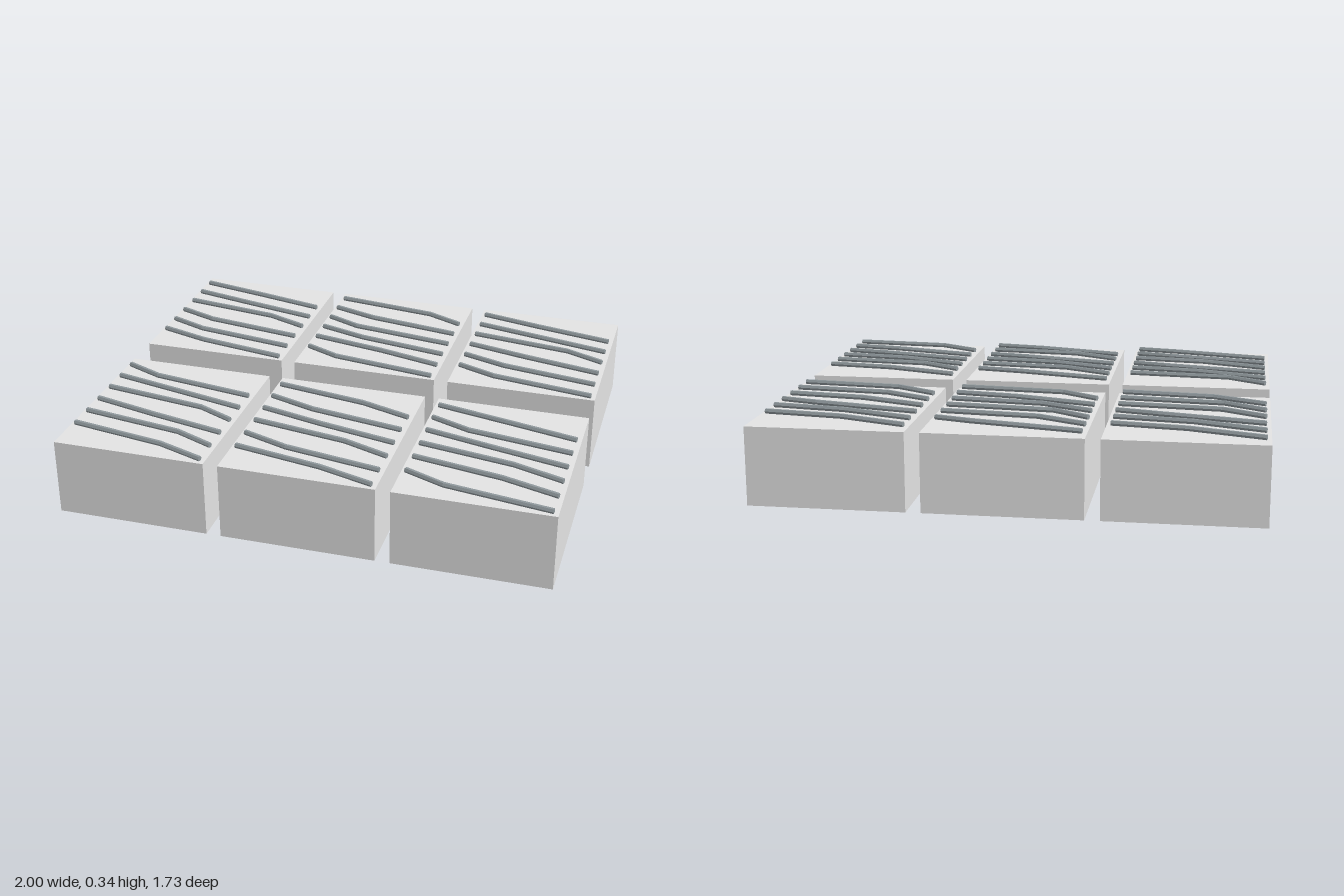
import * as THREE from 'three';

const WIDTH = 0.627, DEPTH = 0.783, HEIGHT = 0.316;
const PITCH_X = 0.686, PITCH_Z = 0.942;

// Where each rod bends, as a fraction of its length: one row per block
const BENDS = [
  [0.5, 0.47, 0.71, 0.29, 0.28, 0.36],
  [0.745, 0.33, 0.25, 0.35, 0.55, 0.25],
  [0.45, 0.48, 0.73, 0.45, 0.32, 0.28],
  [0.27, 0.5, 0.75, 0.47, 0.73, 0.68],
  [0.65, 0.34, 0.45, 0.68, 0.33, 0.62],
  [0.5, 0.28, 0.48, 0.66, 0.62, 0.28],
];

// Box shell without its bottom face
function openBox() {
  const geo = new THREE.BoxGeometry(WIDTH, HEIGHT, DEPTH);
  const index = Array.from(geo.index.array);
  index.splice(18, 6);
  geo.setIndex(index);
  geo.clearGroups();
  return geo.translate(0, HEIGHT / 2, 0);
}

// Six-sided rod swept through [x, y, z] points, with mitred bends
function rodGeometry(path, radius = 0.011, sides = 6) {
  const pos = [], index = [], last = path.length - 1;
  const dir = (a, b) => new THREE.Vector2(b[0] - a[0], b[2] - a[2]).normalize();
  path.forEach(([x, y, z], i) => {
    const before = dir(path[Math.max(i - 1, 0)], path[Math.max(i, 1)]);
    const after = dir(path[Math.min(i, last - 1)], path[Math.min(i + 1, last)]);
    const t = before.add(after).normalize();
    for (let k = 0; k < sides; k++) {
      const a = (k / sides) * Math.PI * 2;
      const side = Math.cos(a) * radius;
      pos.push(x - t.y * side, y + Math.sin(a) * radius, z + t.x * side);
    }
  });
  for (let i = 0; i < last; i++) {
    for (let k = 0; k < sides; k++) {
      const a = i * sides + k, b = i * sides + (k + 1) % sides;
      index.push(a, a + sides, b, b, a + sides, b + sides);
    }
  }
  // End caps
  const e = last * sides;
  for (let k = 1; k < sides - 1; k++) index.push(0, k, k + 1, e, e + k + 1, e + k);
  const geo = new THREE.BufferGeometry();
  geo.setAttribute('position', new THREE.Float32BufferAttribute(pos, 3));
  geo.setIndex(index);
  const flat = geo.toNonIndexed();
  flat.computeVertexNormals();
  return flat;
}

export function createModel() {
  const model = new THREE.Group();
  model.name = 'rodTopBlocks';
  const blockGrey = new THREE.MeshStandardMaterial({ color: 0xe3e3e3, side: THREE.DoubleSide });
  blockGrey.name = 'light grey';
  const rodGrey = new THREE.MeshStandardMaterial({ color: 0x8f989c, side: THREE.DoubleSide });
  rodGrey.name = 'mid grey';
  const shell = openBox();

  BENDS.forEach((bends, n) => {
    const unit = new THREE.Group();
    unit.name = 'unit';
    unit.position.set((n % 3 - 1) * PITCH_X, 0, (Math.floor(n / 3) - 0.5) * PITCH_Z);

    const block = new THREE.Mesh(shell, blockGrey);
    block.name = 'block';
    unit.add(block);

    // Six bent rods lying across the top, slightly raised at the bend
    bends.forEach((bend, i) => {
      const path = [[-0.295, 0, 0], [-0.295 + 0.59 * bend, 0.005, 0.077], [0.295, 0, 0.139]];
      const rod = new THREE.Mesh(rodGeometry(path), rodGrey);
      rod.name = 'rod';
      rod.position.set(0, 0.327, -0.316 + 0.11 * i);
      unit.add(rod);
    });
    model.add(unit);
  });
  return model;
}
